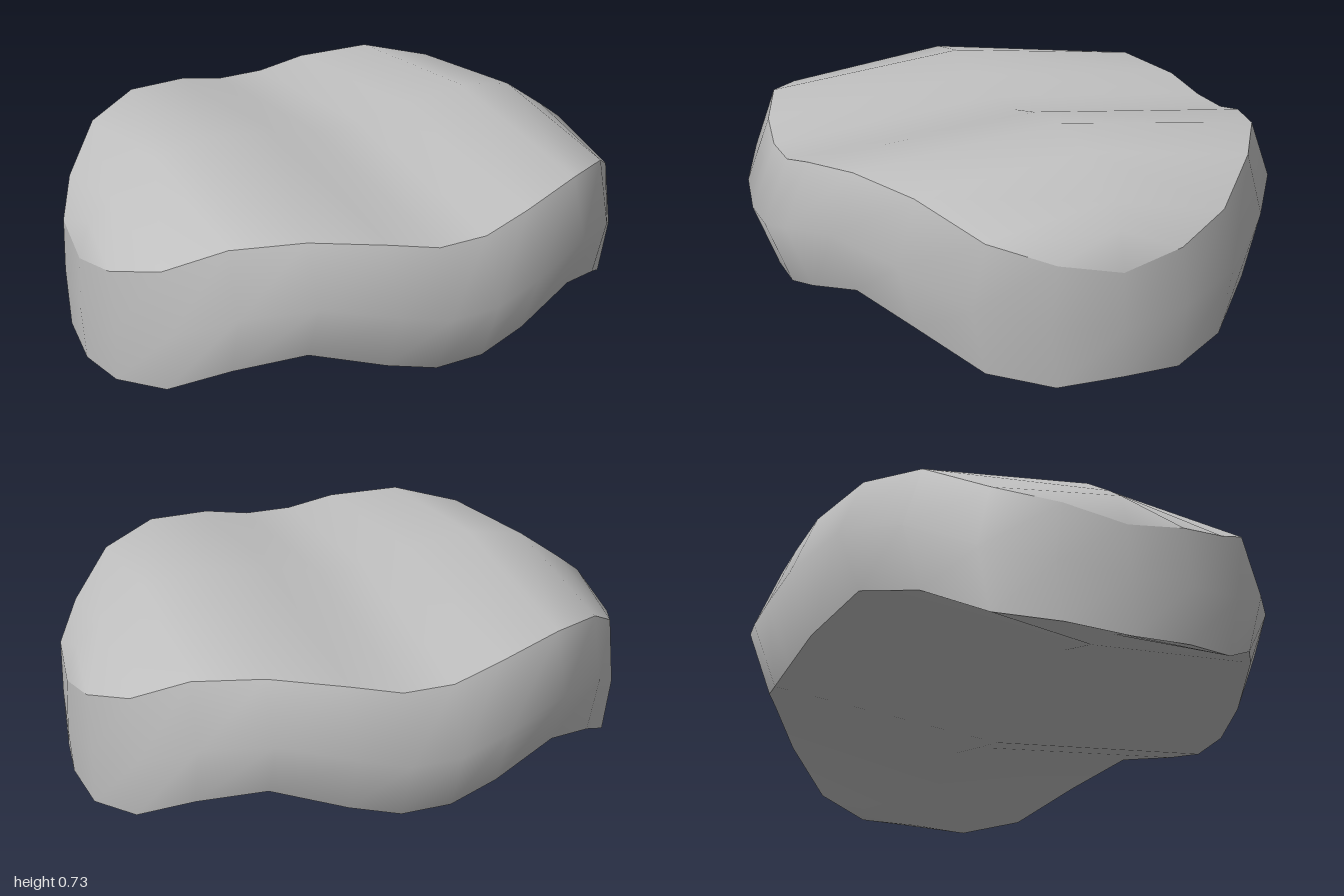
import * as THREE from 'three';
import { mergeVertices } from 'three/addons/utils/BufferGeometryUtils.js';

// Half stations from the middle outwards:
// [angle from the z axis, top rim y, bottom rim y, ridge y, keel y]
const HALF = [
  [5, 0.58, 0.14, 0.66, 0.06],
  [15, 0.62, 0.185, 0.70, 0.105],
  [30, 0.65, 0.25, 0.73, 0.17],
  [45, 0.615, 0.18, 0.695, 0.10],
  [60, 0.50, 0.065, 0.58, 0.065],
  [75, 0.435, 0.025, 0.515, 0.025],
  [90, 0.39, 0.005, 0.39, 0.005],
];

function station([angle, top, bottom, ridge, keel], side) {
  const a = THREE.MathUtils.degToRad(angle);
  const end = angle === 90;
  if (end && side > 0) bottom = keel = 0.035; // right tip is slightly raised
  return {
    x: side * Math.sin(a), z: end ? 0 : 0.91 * Math.cos(a),
    rimX: side * (end ? 0.99 : Math.sin(a)),
    ridgeX: side * (end ? 0.99 : angle === 75 ? 0.95 : Math.sin(a)),
    top, bottom, ridge, keel, mid: end ? 0.2 : (top + bottom) / 2,
  };
}

// Smooth surface through rows of points, each row running the same way
function loft(rows) {
  const n = rows[0].length;
  const index = [];
  for (let j = 0; j < rows.length - 1; j++) {
    for (let i = 0; i < n - 1; i++) {
      const a = j * n + i, b = a + 1, c = b + n, d = a + n;
      index.push(a, b, c, a, c, d);
    }
  }
  const geometry = new THREE.BufferGeometry();
  geometry.setAttribute('position', new THREE.Float32BufferAttribute(rows.flat(2), 3));
  geometry.setIndex(index);
  const merged = mergeVertices(geometry, 1e-4);
  merged.computeVertexNormals();
  return merged;
}

export function createModel() {
  const group = new THREE.Group();
  group.name = 'wavyCushion';
  const grey = new THREE.MeshStandardMaterial({ color: 0xbfbfbf });
  grey.name = 'grey';

  const add = (name, rows) => {
    const mesh = new THREE.Mesh(loft(rows), grey);
    mesh.name = name;
    group.add(mesh);
  };

  // Stations from the -x tip to the +x tip
  const stations = [
    ...HALF.map((h) => station(h, -1)).reverse(),
    ...HALF.map((h) => station(h, 1)),
  ];
  const inset = 0.905;
  const topRim = (f) => stations.map((s) => [s.rimX, s.top, f * s.z * inset]);
  const bottomRim = (f) => stations.map((s) => [s.rimX, s.bottom, f * s.z * inset]);
  const middle = (f) => stations.map((s) => [s.x, s.mid, f * s.z]);
  const ridge = stations.map((s) => [s.ridgeX, s.ridge, 0]);
  const keel = stations.map((s) => [s.ridgeX, s.keel, 0]);

  // Closed loop: along the front, then back along the rear
  const loop = (edge) => [...edge(1), ...edge(-1).reverse().slice(1)];

  add('sideWall', [loop(bottomRim), loop(middle), loop(topRim)]);
  add('topSurface', [topRim(1), ridge, topRim(-1)]);
  add('bottomSurface', [bottomRim(-1), keel, bottomRim(1)]);
  return group;
}
